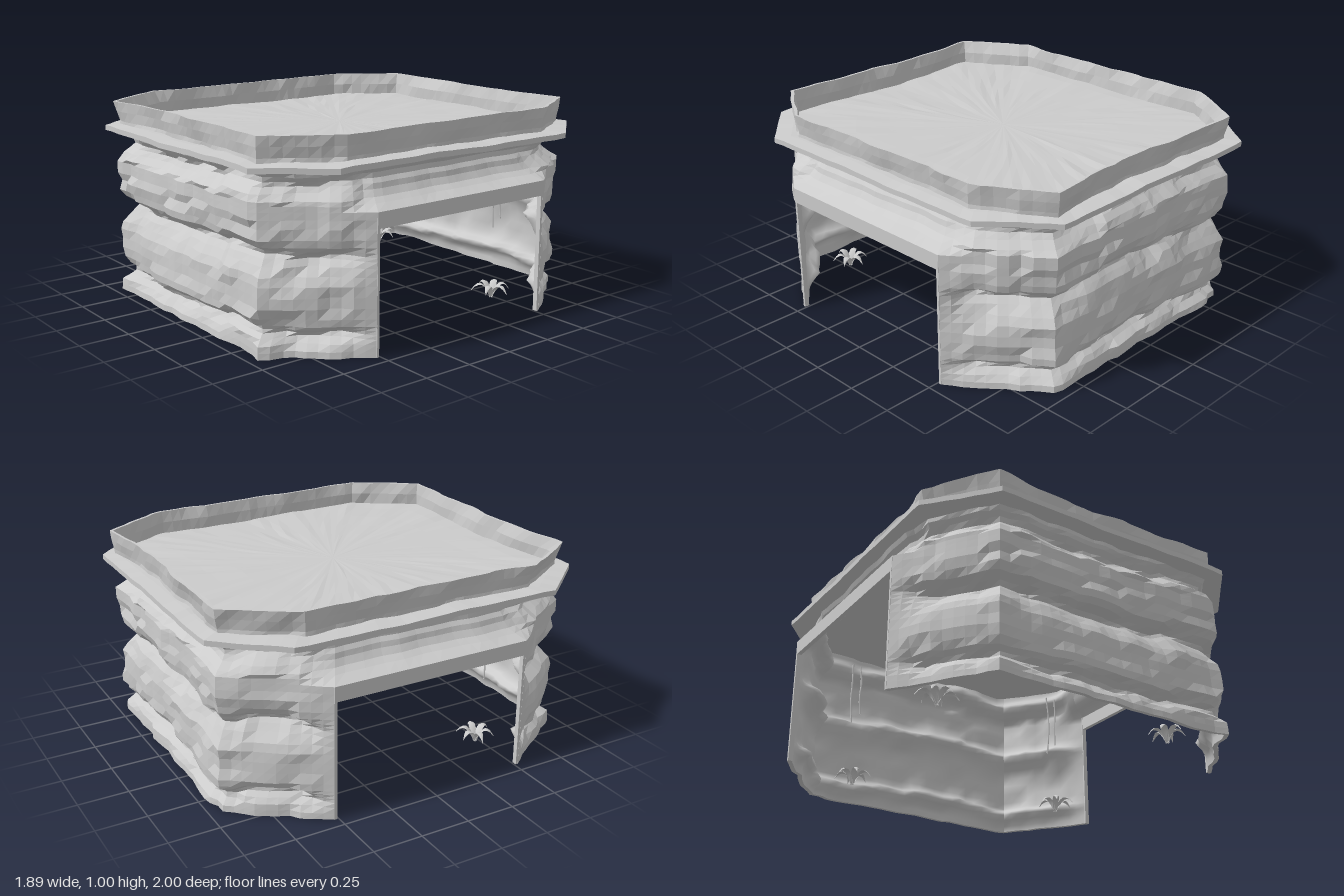
import * as THREE from 'three';

const stone = new THREE.MeshStandardMaterial({ color: 0xcccccc, flatShading: true, side: THREE.DoubleSide });
const smooth = new THREE.MeshStandardMaterial({ color: 0xcccccc, side: THREE.DoubleSide });

const ROOF_Y = 0.85, DOOR_Z = 0.52, DOOR_H = 0.59;

// Repeatable value noise in -1..1 from a cell, and smooth lumps
const hash = (a, b, c) => {
  const s = Math.sin(a * 12.99 + b * 78.23 + c * 37.72) * 43758.54;
  return (s - Math.floor(s)) * 2 - 1;
};
const cell = (x, y, z, w, h) =>
  hash(Math.floor(x / w + 0.37), Math.floor(y / h + 0.21), Math.floor(z / w + 0.37));
const lump = (x, y, z) =>
  0.5 * Math.sin(7 * x + 5 * z + 4 * y) + 0.3 * Math.sin(17 * x - 13 * z + 9 * y) + 0.2 * Math.sin(31 * x + 27 * z);

// Linear lookup in a list of [y, value]
function lookup(table, y) {
  for (let i = 1; i < table.length; i++) {
    const [y0, a] = table[i - 1], [y1, b] = table[i];
    if (y <= y1) return THREE.MathUtils.lerp(a, b, Math.max(0, (y - y0) / (y1 - y0)));
  }
  return table[table.length - 1][1];
}

// Sample a closed plan outline; sides running along z at the doors are marked
function samplePlan(corners, step) {
  const cols = [];
  corners.forEach(([x0, z0], k) => {
    const [x1, z1] = corners[(k + 1) % corners.length];
    const n = Math.max(2, Math.round(Math.hypot(x1 - x0, z1 - z0) / step));
    for (let i = 0; i <= n; i++) {
      const t = i / n;
      cols.push({ x: x0 + (x1 - x0) * t, z: z0 + (z1 - z0) * t, door: x0 === x1 && Math.abs(z0) === DOOR_Z });
    }
  });
  return cols;
}

// Mirror the +x +z corner points into a full outline
function mirrorPlan(quarter) {
  const back = [...quarter].reverse();
  return [
    ...quarter,
    ...back.map(([x, z]) => [-x, z]),
    ...quarter.map(([x, z]) => [-x, -z]),
    ...back.map(([x, z]) => [x, -z]),
  ];
}

// Sweep rows around the outline; place(col, row) returns [x, y, z]
function sweep(name, cols, rows, place, material = stone) {
  const pos = [], index = [], n = rows.length;
  cols.forEach((c) => rows.forEach((r) => pos.push(...place(c, r))));
  for (let i = 0; i < cols.length; i++) {
    const a = i * n, b = ((i + 1) % cols.length) * n;
    for (let j = 0; j < n - 1; j++) {
      index.push(a + j, a + j + 1, b + j, b + j, a + j + 1, b + j + 1);
    }
  }
  const g = new THREE.BufferGeometry();
  g.setAttribute('position', new THREE.Float32BufferAttribute(pos, 3));
  g.setIndex(index);
  g.computeVertexNormals();
  const mesh = new THREE.Mesh(g, material);
  mesh.name = name;
  return mesh;
}

// Depth of the strata: layered bulges on the walls, a plain face round the doors
const strata = [[0, 0], [0.05, 0.005], [0.095, 0.055], [0.105, 0.06], [0.145, 0.005], [0.2, 0], [0.34, 0.005],
  [0.41, 0.045], [0.45, 0.08], [0.46, 0.08], [0.505, 0.01], [0.56, 0], [0.71, 0.005], [0.765, 0.07],
  [0.785, 0.075], [0.83, 0.035]];
const doorFace = [[0, 0], [0.665, 0], [0.7, 0.08], [0.73, 0.11], [0.76, 0.115], [0.8, 0.145], [0.84, 0.1]];

function makeWalls() {
  const cols = samplePlan(mirrorPlan([[0.945, DOOR_Z], [0.64, 0.947]]), 0.055);
  const ys = [0, 0.03, 0.06, 0.085, 0.105, 0.125, 0.145, 0.18, 0.23, 0.28, 0.33, 0.37, 0.41, 0.44, 0.46, 0.48, 0.505,
    0.54, DOOR_H, 0.63, 0.665, 0.69, 0.71, 0.74, 0.765, 0.785, 0.81, 0.83, ROOF_Y];
  const place = ({ x, z, door }, [y0, thick]) => {
    const y = door ? Math.max(y0, DOOR_H) : y0;
    const rough = THREE.MathUtils.smoothstep(Math.abs(z), DOOR_Z, 0.66);
    const shifted = y + 0.02 * lump(x * 0.6, 0, z * 0.6) + 0.014 * cell(x, 0, z, 0.2, 1);
    const wall = lookup(strata, shifted) + 0.012 * lump(x, y, z) + 0.011 * cell(x, y, z, 0.13, 0.08);
    const side = lookup(doorFace, y) + (y > 0.67 ? 0.014 * lump(x, y, z) : 0);
    const s = 1 - (THREE.MathUtils.lerp(side, wall, rough) + thick) / 0.95;
    return [x * s, y, z * s];
  };
  // Flat-shaded outer face with its bottom edge, smooth inner face
  return [
    sweep('rockWalls', cols, [[0, 0.02], ...ys.map((y) => [y, 0])], place),
    sweep('innerWalls', cols, [...ys].reverse().map((y) => [y, 0.02]), place, smooth),
  ];
}

// Thin octagonal slab that is ceiling, ledge and roof floor in one
function makeRoofSlab() {
  const cols = samplePlan(mirrorPlan([[0.915, 0.7], [0.66, 1]]), 0.07);
  const rows = [[0, 0.855], [0.85, 0.855], [1, 0.85], [1, 0.876], [0.93, 0.882], [0.8, 0.885], [0.65, 0.885],
    [0.5, 0.885], [0.35, 0.885], [0.2, 0.885], [0, 0.885]];
  return sweep('roofSlab', cols, rows, ({ x, z }, [s, y]) =>
    [x * s, y + s * (0.007 * lump(x, 0, z) + (s < 0.9 ? 0.004 * cell(x, s, z, 0.1, 0.14) : 0)), z * s]);
}

// Wavy rim standing on the slab, bowed in a little along each side
function makeParapet() {
  const cols = samplePlan(mirrorPlan([[0.838, 0.25], [0.858, 0.62], [0.642, 0.952], [0.3, 0.925]]), 0.055);
  const rows = [[0.86, 0.985], [0.9, 0.98], [0.95, 0.99], [1, 1], [1, 0.985], [0.94, 0.968], [0.86, 0.965]];
  return sweep('parapet', cols, rows, ({ x, z }, [y, s]) => {
    const k = s - 0.002 + 0.016 * lump(x, y * 2, z) + 0.006 * cell(x, y, z, 0.15, 0.07);
    return [x * k, y, z * k];
  });
}

// Arching, tapered leaf
function makeLeaf(length) {
  const g = new THREE.PlaneGeometry(1, 1, 2, 6);
  const p = g.attributes.position;
  for (let i = 0; i < p.count; i++) {
    const side = p.getX(i), t = p.getY(i) + 0.5;
    const w = 0.036 * Math.sin(Math.PI * (0.15 + 0.85 * t));
    p.setXYZ(i, length * t, 0.015 + 0.25 * t - 0.21 * t * t - Math.abs(side) * 0.012, side * w);
  }
  g.computeVertexNormals();
  return new THREE.Mesh(g, smooth);
}

function makePlant(turn) {
  const plant = new THREE.Group();
  plant.name = 'plant';
  for (let i = 0; i < 6; i++) {
    const leaf = makeLeaf(0.1 + 0.01 * hash(i, turn, 1));
    leaf.name = 'leaf';
    leaf.rotation.y = turn + (i / 6) * Math.PI * 2;
    plant.add(leaf);
  }
  return plant;
}

// Two thin strands hanging from the ceiling
function makeVines(seed) {
  const vines = new THREE.Group();
  vines.name = 'hangingVines';
  for (let i = 0; i < 2; i++) {
    const x = (i - 0.5) * 0.05, end = 0.37 + 0.06 * i;
    const pts = [0, 1, 2, 3].map((k) => new THREE.Vector3(
      x + 0.008 * hash(k, i, seed), THREE.MathUtils.lerp(0.72, end, k / 3), 0.008 * hash(i, k, seed + 3)));
    const vine = new THREE.Mesh(new THREE.TubeGeometry(new THREE.CatmullRomCurve3(pts), 8, 0.005, 4), smooth);
    vine.name = 'vine';
    vines.add(vine);
  }
  return vines;
}

export function createModel() {
  const model = new THREE.Group();
  model.name = 'rockShelter';
  model.add(...makeWalls(), makeRoofSlab(), makeParapet());

  // Door lintels and jambs
  for (const sx of [-1, 1]) {
    const lintel = new THREE.Mesh(new THREE.BoxGeometry(0.022, 0.075, DOOR_Z * 2), stone);
    lintel.name = 'doorLintel';
    lintel.position.set(sx * 0.933, DOOR_H + 0.0375, 0);
    model.add(lintel);
    for (const sz of [-1, 1]) {
      const jamb = new THREE.Mesh(new THREE.BoxGeometry(0.025, 0.665, 0.014), stone);
      jamb.name = 'doorJamb';
      jamb.position.set(sx * 0.932, 0.3325, sz * (DOOR_Z - 0.005));
      model.add(jamb);
    }
  }

  // A plant and vines in each corner: two by the doors, two deeper inside
  [[0.67, -0.465], [-0.66, 0.465], [0.5, 0.69], [-0.5, -0.69]].forEach(([x, z], i) => {
    const plant = makePlant(i * 0.8);
    plant.position.set(x, 0, z);
    const vines = makeVines(i);
    vines.position.set(x, 0, z + Math.sign(z) * 0.02);
    model.add(plant, vines);
  });
  return model;
}
